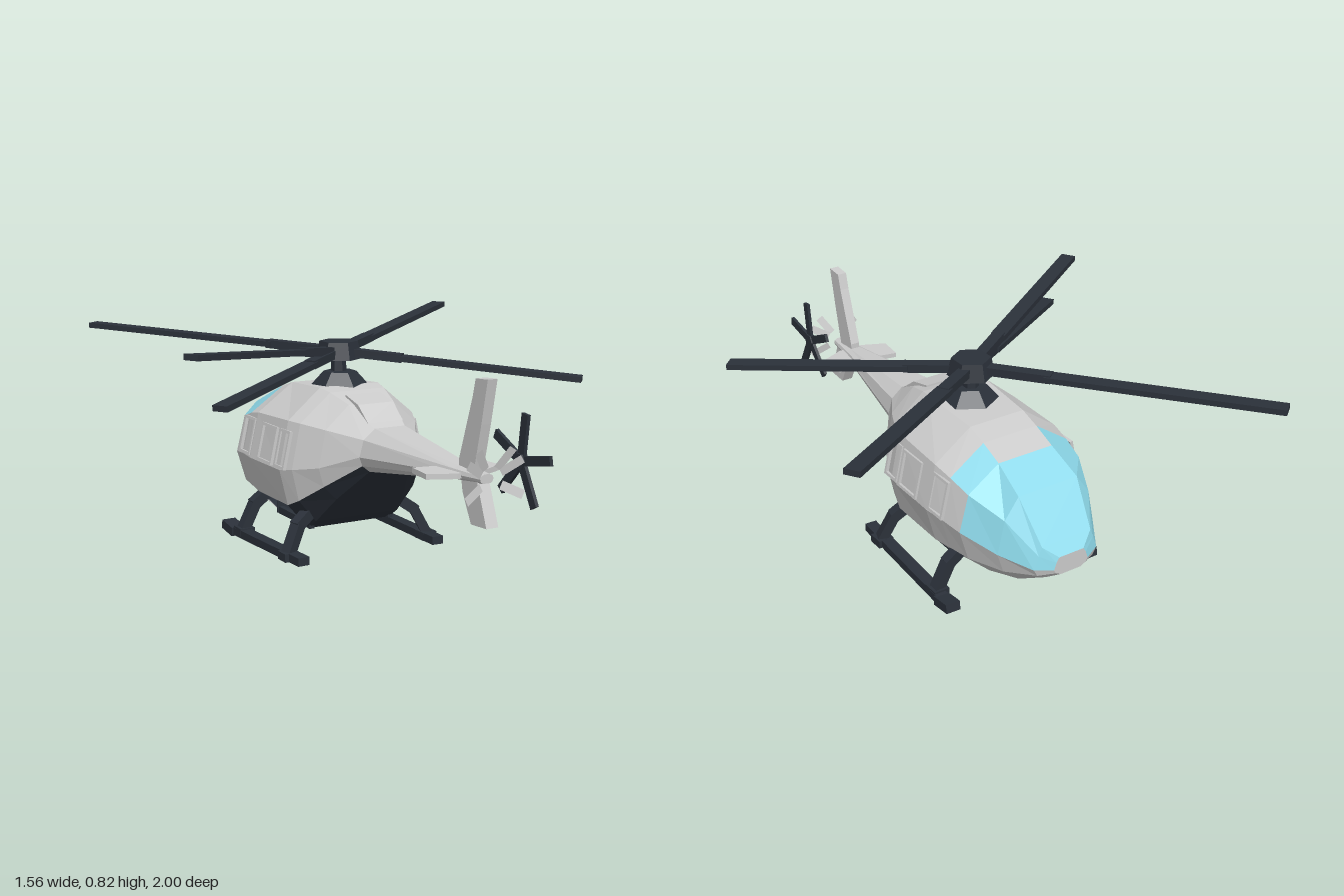
import * as THREE from 'three';

const material = (color) => new THREE.MeshStandardMaterial({ color, flatShading: true, side: THREE.DoubleSide });
const white = material(0xe8e8e8), dark = material(0x2b313a), glass = material(0x8fdbec);

function add(parent, name, geometry, mat, x = 0, y = 0, z = 0) {
  const mesh = new THREE.Mesh(geometry, mat);
  mesh.name = name;
  mesh.position.set(x, y, z);
  parent.add(mesh);
  return mesh;
}

// Box running from point a to point b, width across and thickness up
function bar(parent, name, a, b, width, thick, mat) {
  const from = new THREE.Vector3(...a), to = new THREE.Vector3(...b);
  const mesh = add(parent, name, new THREE.BoxGeometry(width, thick, from.distanceTo(to)), mat);
  mesh.position.copy(from).add(to).multiplyScalar(0.5);
  mesh.quaternion.setFromRotationMatrix(new THREE.Matrix4().lookAt(to, from, mesh.up));
}

// Flat outline in (z, y), given thickness along x and centred on x = 0
function sidePlate(points, thick) {
  const shape = new THREE.Shape(points.map(([z, y]) => new THREE.Vector2(-z, y)));
  const geometry = new THREE.ExtrudeGeometry(shape, { depth: thick, bevelEnabled: false });
  return geometry.translate(0, 0, -thick / 2).rotateY(Math.PI / 2);
}

// Fuselage sections: z, then half-width and height of the belly, the waist and the roof
const sections = [
  [-0.70, 0.04, 0.225, 0.07, 0.25, 0.05, 0.295],
  [-0.67, 0.08, 0.21, 0.13, 0.255, 0.10, 0.335],
  [-0.56, 0.11, 0.15, 0.20, 0.28, 0.12, 0.48],
  [-0.43, 0.14, 0.12, 0.265, 0.32, 0.11, 0.54],
  [-0.34, 0.15, 0.11, 0.28, 0.33, 0.11, 0.575],
  [-0.26, 0.16, 0.10, 0.29, 0.33, 0.11, 0.60],
  [-0.02, 0.17, 0.10, 0.285, 0.33, 0.12, 0.615],
  [0.04, 0.17, 0.14, 0.265, 0.34, 0.11, 0.605],
  [0.14, 0.14, 0.24, 0.21, 0.36, 0.09, 0.575],
  [0.27, 0.08, 0.36, 0.12, 0.415, 0.06, 0.51],
  [0.73, 0.025, 0.425, 0.042, 0.445, 0.02, 0.47],
  [0.86, 0.015, 0.435, 0.025, 0.45, 0.01, 0.465],
];

// Ten-sided ring: chine and shoulder corners follow from belly, waist and roof
function ring([z, bellyX, bellyY, waistX, waistY, roofX, roofY]) {
  const { lerp } = THREE.MathUtils;
  const half = [
    [bellyX, bellyY, z],
    [lerp(bellyX, waistX, 0.72), lerp(bellyY, waistY, 0.42), z],
    [waistX, waistY, z],
    [waistX * 0.87, lerp(waistY, roofY, 0.62), z],
    [roofX, roofY, z],
  ];
  return [...half, ...half.map(([x, y]) => [-x, y, z]).reverse()];
}

// Picks the skin for the panel after section s on ring side j
function skin(s, j) {
  const k = j > 4 && j < 9 ? 8 - j : j;
  if (s === 5 && k === 0) return 'opening';
  if (s >= 6 && s <= 8 && (k === 0 || k === 9)) return 'darkPanels';
  if (s >= 2 && s <= 4 && k === 9) return 'darkPanels';
  if (s <= 2 && k >= 2 && k <= 4) return 'windscreen';
  if (s === 3 && k === 3) return 'windscreen';
  return 'hull';
}

function buildFuselage(group) {
  const rings = sections.map(ring);
  const skins = { hull: [], darkPanels: [], windscreen: [] };
  for (let s = 0; s < rings.length - 1; s++) {
    for (let j = 0; j < 10; j++) {
      const n = (j + 1) % 10;
      const a = rings[s][j], b = rings[s][n], c = rings[s + 1][n], d = rings[s + 1][j];
      skins[skin(s, j)]?.push(...a, ...b, ...c, ...a, ...c, ...d);
    }
  }
  // Nose and tail caps
  const nose = rings[0], tail = rings[rings.length - 1];
  for (let j = 1; j < 9; j++) {
    skins.hull.push(...nose[0], ...nose[j + 1], ...nose[j]);
    skins.hull.push(...tail[0], ...tail[j], ...tail[j + 1]);
  }
  const materials = { hull: white, darkPanels: dark, windscreen: glass };
  for (const name in skins) {
    const geometry = new THREE.BufferGeometry();
    geometry.setAttribute('position', new THREE.Float32BufferAttribute(skins[name], 3));
    geometry.computeVertexNormals();
    add(group, name, geometry, materials[name]);
  }

  // Dark bay running through the lower cabin
  add(group, 'bayCeiling', new THREE.BoxGeometry(0.5, 0.01, 0.24), dark, 0, 0.2, -0.14);
  for (const z of [-0.257, -0.023]) add(group, 'bayWall', new THREE.BoxGeometry(0.36, 0.09, 0.006), dark, 0, 0.15, z);
}

// Rectangular window frame in the z-y plane
function windowFrame(width, height) {
  const rect = (w, h) => [[-w, -h], [w, -h], [w, h], [-w, h]].map(([x, y]) => new THREE.Vector2(x / 2, y / 2));
  const shape = new THREE.Shape(rect(width, height));
  shape.holes.push(new THREE.Path(rect(width - 0.02, height - 0.02)));
  return new THREE.ExtrudeGeometry(shape, { depth: 0.012, bevelEnabled: false }).translate(0, 0, -0.006).rotateY(Math.PI / 2);
}

function buildSkid(model, side) {
  const gear = new THREE.Group();
  gear.name = side > 0 ? 'leftSkid' : 'rightSkid';
  model.add(gear);
  bar(gear, 'skidBar', [side * 0.278, 0.035, 0.155], [side * 0.298, 0.025, -0.42], 0.045, 0.03, dark);
  bar(gear, 'skidToe', [side * 0.297, 0.022, -0.36], [side * 0.3, 0.036, -0.445], 0.055, 0.034, dark);
  for (const [z, zTop] of [[0.055, 0.02], [-0.325, -0.325]]) {
    const zMid = (z + zTop) / 2;
    bar(gear, 'upperStrut', [side * 0.18, 0.18, zTop], [side * 0.25, 0.13, zMid], 0.04, 0.04, dark);
    bar(gear, 'lowerStrut', [side * 0.24, 0.14, zMid], [side * 0.29, 0.04, z], 0.042, 0.036, dark);
    add(gear, 'strutFoot', new THREE.BoxGeometry(0.06, 0.03, 0.06), dark, side * 0.287, 0.033, z);
  }
}

function buildMainRotor(model) {
  const rotor = new THREE.Group();
  rotor.name = 'mainRotor';
  model.add(rotor);
  add(rotor, 'mastBase', new THREE.CylinderGeometry(0.06, 0.105, 0.05, 6), dark, 0, 0.633, -0.09);
  add(rotor, 'mast', new THREE.CylinderGeometry(0.025, 0.03, 0.08, 6), dark, 0, 0.685, -0.1);
  add(rotor, 'hub', new THREE.CylinderGeometry(0.07, 0.085, 0.065, 6), dark, 0, 0.735, -0.1);
  const centre = new THREE.Vector3(0, 0.73, -0.1);
  const tips = [[-0.635, 0.77, -0.98], [0.765, 0.813, -0.62], [0.64, 0.662, 0.51], [-0.765, 0.818, 0.35], [-0.675, 0.65, 0.36]];
  for (const tip of tips) {
    const at = (t) => centre.clone().lerp(new THREE.Vector3(...tip), t).toArray();
    bar(rotor, 'bladeRoot', at(0.05), at(0.27), 0.042, 0.03, dark);
    bar(rotor, 'blade', at(0.25), tip, 0.055, 0.02, dark);
  }
}

function buildTail(model) {
  // Fins and stabiliser
  add(model, 'upperFin', sidePlate([[0.73, 0.45], [0.73, 0.49], [0.80, 0.70], [0.815, 0.76], [0.88, 0.765], [0.85, 0.62], [0.81, 0.45]], 0.036), white);
  add(model, 'lowerFin', sidePlate([[0.75, 0.44], [0.84, 0.44], [0.895, 0.30], [0.81, 0.295], [0.76, 0.39]], 0.045), white);
  const edge = [[0.05, 0.645], [0.13, 0.63], [0.14, 0.73], [0.05, 0.77]];
  const outline = [...edge, ...edge.map(([x, z]) => [-x, z]).reverse()];
  const stabiliser = new THREE.Shape(outline.map(([x, z]) => new THREE.Vector2(x, z)));
  const plate = new THREE.ExtrudeGeometry(stabiliser, { depth: 0.018, bevelEnabled: false }).rotateX(Math.PI / 2);
  add(model, 'stabiliser', plate, white, 0, 0.454, 0);

  // Five-bladed tail rotor beside the fin
  const tailRotor = new THREE.Group();
  tailRotor.name = 'tailRotor';
  tailRotor.position.set(0.135, 0.49, 0.853);
  model.add(tailRotor);
  add(tailRotor, 'tailHub', new THREE.CylinderGeometry(0.028, 0.028, 0.022, 6).rotateZ(Math.PI / 2), dark);
  for (let i = 0; i < 5; i++) {
    const a = 1.45 + i * Math.PI * 0.4;
    bar(tailRotor, 'tailBlade', [0, 0, 0], [0, Math.sin(a) * 0.155, Math.cos(a) * 0.155], 0.012, 0.032, dark);
  }

  // Small vanes fanned around the tail end
  for (const a of [0.55, 1.0, 2.14, 2.59, 3.6, 5.82]) {
    const spoke = new THREE.Group();
    spoke.name = 'tailVane';
    spoke.position.set(0, 0.45, 0.895);
    spoke.rotation.z = a;
    model.add(spoke);
    add(spoke, 'vane', new THREE.PlaneGeometry(0.08, 0.03), white, 0.08, 0, 0).rotation.y = -0.3;
  }
}

export function createModel() {
  const model = new THREE.Group();
  model.name = 'helicopter';
  buildFuselage(model);
  add(model, 'exhaustCowling', sidePlate([[0.08, 0.5], [0.26, 0.49], [0.24, 0.525], [0.17, 0.578], [0.08, 0.6]], 0.14), white);

  // Windows, belly rails and landing gear on both sides
  for (const side of [1, -1]) {
    for (const [z, width, x] of [[-0.02, 0.08, 0.27], [-0.135, 0.12, 0.275], [-0.31, 0.09, 0.271]]) {
      add(model, 'windowFrame', windowFrame(width, 0.14), white, side * x, 0.405, z).rotation.z = side * 0.22;
    }
    bar(model, 'bellyRail', [side * 0.165, 0.115, -0.26], [side * 0.165, 0.115, 0], 0.02, 0.026, dark);
    buildSkid(model, side);
  }
  buildMainRotor(model);
  buildTail(model);
  return model;
}
